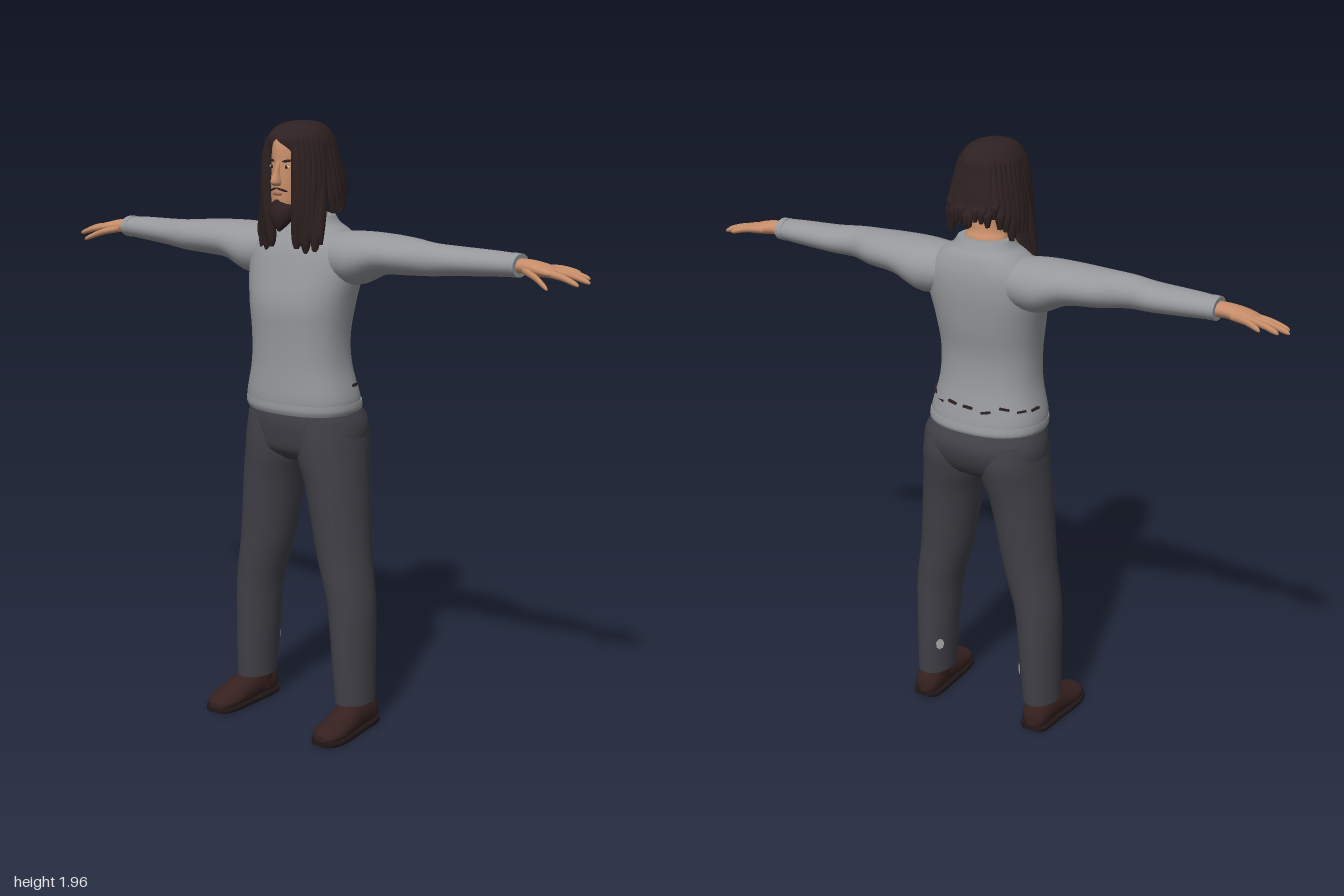
import * as THREE from 'three';

const mat = (name, color, side = THREE.FrontSide) => {
  const m = new THREE.MeshStandardMaterial({ color, side });
  m.name = name;
  return m;
};

// Smooth loft through rows [y, cx, cz, rx, rz, gapDegrees]; rows ascend in y.
// p is the superellipse power, open leaves a gap at the front without caps.
function loft(rows, { n = 24, p = 2, steps = 4, open = false } = {}) {
  const rings = [];
  const at = (i) => rows[Math.max(0, Math.min(rows.length - 1, i))];
  for (let i = 0; i < rows.length - 1; i++) {
    for (let s = 0; s < steps; s++) rings.push(mix(i, s / steps));
  }
  rings.push(rows[rows.length - 1]);
  function mix(i, t) {
    return at(i).map((b, k) => {
      const a = at(i - 1)[k], c = at(i + 1)[k], d = at(i + 2)[k];
      return b + 0.5 * t * (c - a + t * (2 * a - 5 * b + 4 * c - d + t * (3 * (b - c) + d - a)));
    });
  }
  const pos = [], idx = [], m = open ? n + 1 : n;
  const f = (v) => Math.sign(v) * Math.abs(v) ** (2 / p);
  const addRing = ([y, cx, cz, rx, rz, gap = 0]) => {
    const g = THREE.MathUtils.degToRad(Math.max(0, gap));
    for (let j = 0; j < m; j++) {
      const a = g + (2 * Math.PI - 2 * g) * j / n;
      pos.push(cx + Math.max(rx, 0.0005) * f(Math.sin(a)), y, cz + Math.max(rz, 0.0005) * f(Math.cos(a)));
    }
  };
  rings.forEach(addRing);
  for (let i = 0; i < rings.length - 1; i++) {
    for (let j = 0; j < n; j++) {
      const k = (j + 1) % m, a = i * m + j, b = i * m + k;
      idx.push(a, b, b + m, a, b + m, a + m);
    }
  }
  if (!open) {
    for (const [ring, top] of [[rings[0], false], [rings[rings.length - 1], true]]) {
      const base = pos.length / 3;
      addRing(ring);
      pos.push(ring[1], ring[0], ring[2]);
      for (let j = 0; j < n; j++) {
        const a = base + j, b = base + (j + 1) % n;
        idx.push(base + n, top ? a : b, top ? b : a);
      }
    }
  }
  const g = new THREE.BufferGeometry();
  g.setAttribute('position', new THREE.Float32BufferAttribute(pos, 3));
  g.setIndex(idx);
  g.computeVertexNormals();
  return g;
}

// Loft along x; rows [x, y, z, ry, rz].
const loftX = (rows, o) => loft(rows.map(([x, y, z, ry, rz]) => [x, -y, z, ry, rz]), o).rotateZ(-Math.PI / 2);

// Loft along z, flattened between two heights; rows [z, x, y, rx, ry].
function loftZ(rows, lo, hi) {
  const g = loft(rows.map(([z, x, y, rx, ry]) => [z, x, -y, rx, ry])).rotateX(Math.PI / 2);
  const p = g.attributes.position;
  for (let i = 0; i < p.count; i++) p.setY(i, THREE.MathUtils.clamp(p.getY(i), lo, hi));
  g.computeVertexNormals();
  return g;
}

function mirrored(geo) {
  const g = geo.clone().scale(-1, 1, 1);
  const ix = g.index.array;
  for (let i = 0; i < ix.length; i += 3) [ix[i], ix[i + 1]] = [ix[i + 1], ix[i]];
  g.computeVertexNormals();
  return g;
}

export function createModel() {
  const model = new THREE.Group();
  const sweater = mat('sweater grey', 0x96989b), trousers = mat('trouser charcoal', 0x404047);
  const skin = mat('skin', 0xc68d69), hair = mat('dark brown hair', 0x2e2121, THREE.DoubleSide);
  const leather = mat('shoe leather', 0x35211f), sole = mat('shoe sole', 0x211718);
  const lip = mat('lip', 0x9c6252), eyeWhite = mat('eye white', 0xcfc4ba);
  const patchGrey = mat('worn patch', 0xa9a9ab, THREE.DoubleSide);

  const add = (name, geo, material) => {
    const mesh = new THREE.Mesh(geo, material);
    mesh.name = name;
    model.add(mesh);
    return mesh;
  };
  const pair = (name, geo, material) => {
    add(name + 'Left', geo, material);
    add(name + 'Right', mirrored(geo), material);
  };

  // Sweater body, hem band and collar
  add('sweaterBody', loft([
    [1.06, 0, -0.02, 0.188, 0.143], [1.1, 0, -0.015, 0.192, 0.143], [1.2, 0, -0.006, 0.168, 0.13],
    [1.3, 0, -0.003, 0.165, 0.128], [1.4, 0, -0.01, 0.178, 0.137], [1.5, 0, -0.027, 0.197, 0.13],
    [1.57, 0, -0.037, 0.19, 0.118], [1.62, 0, -0.043, 0.145, 0.098], [1.645, 0, -0.042, 0.105, 0.082],
    [1.67, 0, -0.04, 0.088, 0.07]], { n: 40, p: 2.3 }), sweater);
  add('hemBand', loft([[1.05, 0, -0.02, 0.19, 0.143], [1.065, 0, -0.02, 0.196, 0.149],
    [1.085, 0, -0.018, 0.195, 0.147]], { n: 40, p: 2.3 }), sweater);
  for (let i = 0; i < 9; i++) {
    const a = THREE.MathUtils.degToRad(104 + i * 19);
    const tear = add('hemTear', new THREE.BoxGeometry(0.032, 0.007, 0.008), hair);
    tear.position.set(Math.sin(a) * 0.187, 1.14 + 0.008 * Math.sin(i * 2.3), -0.011 + Math.cos(a) * 0.142);
    tear.rotation.set(0, Math.atan2(Math.sin(a) / 0.187, Math.cos(a) / 0.142), 0.2 * Math.sin(i * 4));
  }

  // Sleeves
  pair('sleeve', loftX([
    [0.08, 1.55, -0.045, 0.07, 0.08], [0.2, 1.546, -0.042, 0.084, 0.106], [0.3, 1.566, -0.04, 0.064, 0.096],
    [0.4, 1.568, -0.034, 0.057, 0.084], [0.49, 1.568, -0.018, 0.05, 0.06], [0.57, 1.569, -0.031, 0.044, 0.062],
    [0.7, 1.572, -0.038, 0.038, 0.052], [0.775, 1.573, -0.04, 0.033, 0.044]], { n: 28 }), sweater);
  pair('sleeveCuff', loftX([[0.755, 1.573, -0.04, 0.036, 0.047], [0.778, 1.573, -0.04, 0.035, 0.046]], { n: 28 }), sweater);

  // Hands: palm, four fingers and thumb
  pair('palm', loftX([
    [0.76, 1.572, -0.04, 0.022, 0.03], [0.81, 1.572, -0.04, 0.022, 0.034], [0.85, 1.567, -0.042, 0.02, 0.043],
    [0.885, 1.562, -0.045, 0.015, 0.044], [0.9, 1.56, -0.046, 0.008, 0.036]], { n: 16 }), skin);
  const fingers = [
    [0.83, 1.567, -0.068, 0.935, 1.556, -0.115], [0.86, 1.565, -0.062, 0.98, 1.547, -0.087],
    [0.87, 1.565, -0.045, 1.0, 1.54, -0.052], [0.86, 1.563, -0.022, 0.985, 1.536, -0.012],
    [0.8, 1.565, -0.018, 0.915, 1.525, 0.042]];
  fingers.forEach(([x, y, z, u, v, w], i) => {
    const row = (t, r, lift) => [x + (u - x) * t, y + (v - y) * t + lift, z + (w - z) * t, r, r];
    pair(i < 4 ? 'finger' : 'thumb', loftX([row(0, 0.012, 0), row(0.5, 0.0105, 0.006),
      row(0.9, 0.008, 0.002), row(1, 0.002, 0)], { n: 8, steps: 3 }), skin);
  });

  // Trousers
  add('trouserSeat', loft([
    [0.885, 0, -0.03, 0.12, 0.075], [0.92, 0, -0.033, 0.19, 0.122], [0.97, 0, -0.04, 0.208, 0.142],
    [1.02, 0, -0.039, 0.205, 0.147], [1.07, 0, -0.028, 0.185, 0.13]], { n: 36, p: 2.3 }), trousers);
  pair('trouserLeg', loft([
    [0.09, 0.208, -0.025, 0.059, 0.079], [0.2, 0.203, -0.025, 0.063, 0.085], [0.4, 0.193, -0.025, 0.073, 0.09],
    [0.5, 0.176, -0.025, 0.08, 0.095], [0.6, 0.156, -0.026, 0.087, 0.1], [0.8, 0.129, -0.029, 0.097, 0.118],
    [0.89, 0.11, -0.033, 0.107, 0.131], [0.96, 0.104, -0.038, 0.106, 0.138], [1.03, 0.1, -0.036, 0.1, 0.13]],
  { n: 28 }), trousers);
  for (const s of [1, -1]) {
    const patch = add('calfPatch', new THREE.CircleGeometry(0.015, 7), patchGrey);
    patch.position.set(s * (0.203 - 0.047), 0.21, -0.025 - 0.064);
    patch.rotation.y = Math.atan2(-s * 0.75, -0.66);
    patch.scale.y = 1.4;
  }

  // Shoes
  const shoe = [[-0.11, 0.213, 0.035, 0.02, 0.02], [-0.085, 0.213, 0.045, 0.043, 0.052], [0, 0.216, 0.05, 0.049, 0.062],
    [0.06, 0.22, 0.04, 0.052, 0.048], [0.12, 0.223, 0.03, 0.053, 0.035], [0.165, 0.224, 0.026, 0.042, 0.026],
    [0.186, 0.224, 0.022, 0.018, 0.012]];
  pair('shoeUpper', loftZ(shoe, 0.012, 0.2), leather);
  pair('shoeSole', loftZ(shoe.map(([z, x, , rx]) => [z * 1.02, x, 0.008, rx + 0.005, 0.04]), 0, 0.016), sole);
  pair('shoeAnkle', loft([[0.03, 0.212, -0.035, 0.045, 0.06], [0.12, 0.21, -0.03, 0.046, 0.055]]), leather);

  // Neck and head
  add('neck', loft([[1.6, 0, -0.04, 0.08, 0.062], [1.668, 0, -0.038, 0.07, 0.056], [1.7, 0, -0.025, 0.054, 0.055],
    [1.8, 0, -0.01, 0.054, 0.06]]), skin);
  add('head', loft([
    [1.672, 0, 0.085, 0.018, 0.025], [1.69, 0, 0.07, 0.038, 0.048], [1.72, 0, 0.045, 0.054, 0.076],
    [1.77, 0, 0.02, 0.064, 0.1], [1.83, 0, 0.008, 0.07, 0.106], [1.89, 0, 0, 0.072, 0.108],
    [1.93, 0, 0, 0.055, 0.08], [1.945, 0, 0, 0.02, 0.03]], { n: 32 }), skin);
  add('nose', loft([[1.768, 0, 0.117, 0.012, 0.008], [1.78, 0, 0.12, 0.016, 0.024], [1.81, 0, 0.115, 0.009, 0.016],
    [1.845, 0, 0.106, 0.008, 0.009]], { n: 12 }), skin);
  const oval = (name, x, y, z, rx, ry, rz, m) => {
    const o = add(name, new THREE.SphereGeometry(1, 14, 10).scale(rx, ry, rz), m);
    o.position.set(x, y, z);
    return o;
  };
  for (const s of [1, -1]) {
    oval('eye', s * 0.028, 1.826, 0.105, 0.012, 0.005, 0.004, eyeWhite);
    oval('iris', s * 0.028, 1.826, 0.108, 0.005, 0.005, 0.003, hair);
    const brow = oval('eyebrow', s * 0.03, 1.845, 0.104, 0.019, 0.004, 0.005, hair);
    brow.rotation.set(0, s * 0.3, s * 0.15);
    const tache = oval('moustache', s * 0.016, 1.757, 0.114, 0.019, 0.004, 0.006, hair);
    tache.rotation.set(0, s * 0.35, -s * 0.3);
  }
  oval('lips', 0, 1.744, 0.117, 0.019, 0.006, 0.006, lip);
  add('beard', loft([[1.628, 0, 0.108, 0.004, 0.004], [1.65, 0, 0.1, 0.026, 0.024], [1.68, 0, 0.088, 0.044, 0.042],
    [1.705, 0, 0.082, 0.046, 0.044], [1.727, 0, 0.092, 0.02, 0.03]], { n: 18 }), hair);

  // Hair: shell open at the face, then hanging locks
  add('hairShell', loft([
    [1.75, 0, -0.012, 0.093, 0.112, 47], [1.84, 0, -0.005, 0.099, 0.121, 36], [1.88, 0, -0.003, 0.099, 0.122, 24],
    [1.912, 0, 0, 0.092, 0.12, 0], [1.942, 0, -0.002, 0.07, 0.095, 0], [1.957, 0, -0.003, 0.042, 0.058, 0],
    [1.963, 0, -0.003, 0.002, 0.003, 0]], { n: 40, open: true }), hair);
  for (let i = 0; i < 17; i++) {
    const deg = 36 + i * 8.8, a = THREE.MathUtils.degToRad(deg);
    const sx = Math.sin(a), cz = Math.cos(a), jag = 0.018 * Math.sin(i * 2.7);
    const long = deg < 82, t = (deg - 36) / 46;
    const end = (long ? 1.575 : deg < 125 ? 1.69 : 1.735) + jag;
    const lowX = long ? 0.05 + 0.07 * t : sx * 0.118, lowZ = long ? 0.085 - 0.035 * t : cz * 0.135 - 0.01;
    const row = (y, x, z, w) => [y, x, z, w * Math.abs(cz) + 0.009 * sx, w * sx + 0.009 * Math.abs(cz)];
    const midY = (end + 1.84) / 2;
    pair('hairLock', loft([
      row(end, lowX, lowZ, 0.002), row(end + 0.035, lowX, lowZ, 0.014),
      row(midY, (lowX + sx * 0.1) / 2 + 0.004, (lowZ + cz * 0.12) / 2, 0.019),
      row(1.84, sx * 0.098, cz * 0.119 - 0.004, 0.017), row(1.91, sx * 0.085, cz * 0.11, 0.008)],
    { n: 8, steps: 3 }), hair);
  }
  return model;
}
